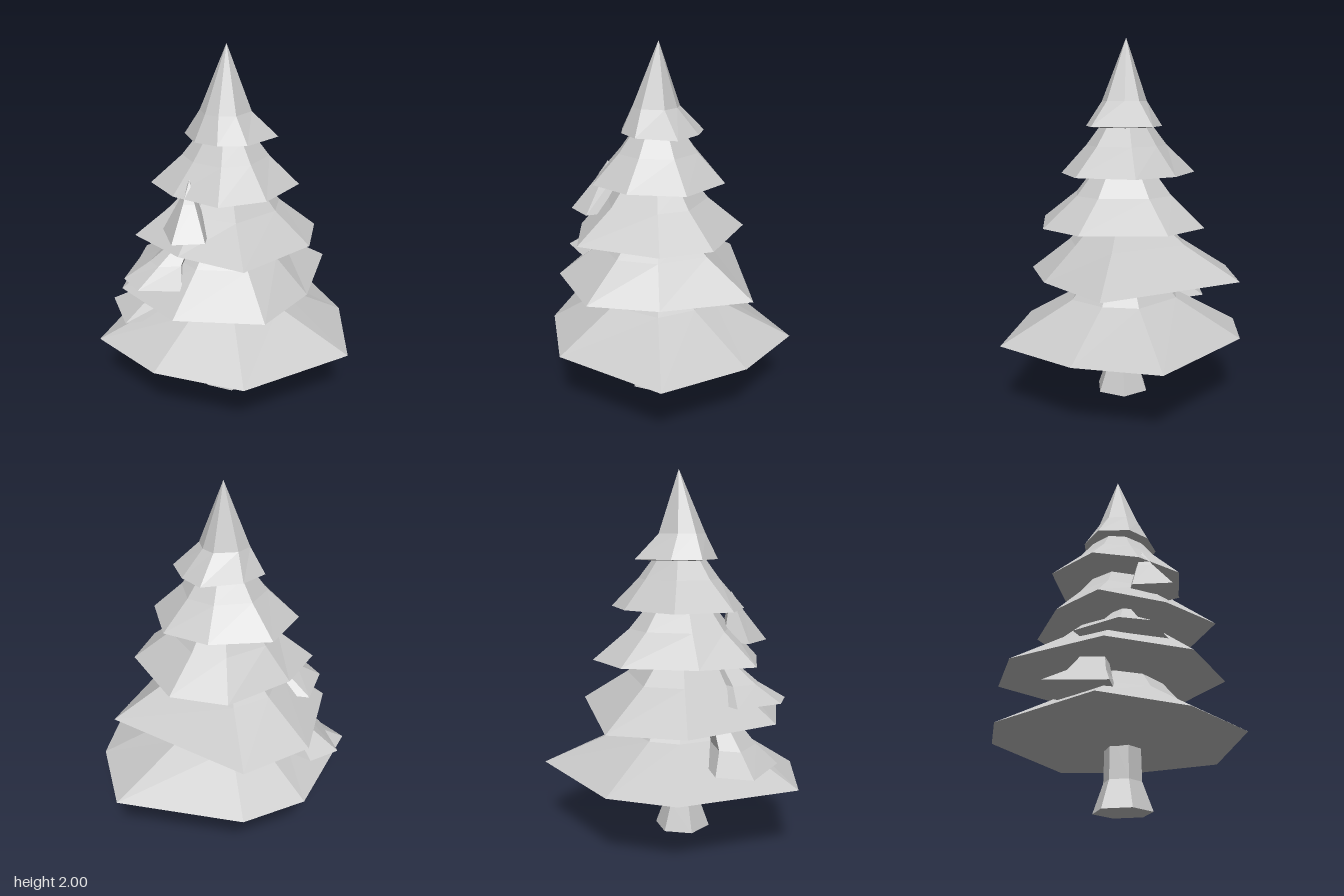
import * as THREE from 'three';

const grey = new THREE.MeshStandardMaterial({ color: 0xc8c8c8, flatShading: true });
grey.name = 'plain grey';

// Faceted skirt lofted through rows [y, scale, centreX, centreZ] of one outline of [x, z] points.
// Scale 1 keeps the outline; smaller rows are rounded off; scale 0 is a point.
function loft(name, outline, centre, rows) {
  const polar = outline
    .map(([x, z]) => {
      const dx = x - centre[0], dz = z - centre[1];
      return { a: Math.atan2(dz, dx), r: Math.hypot(dx, dz) };
    })
    .sort((p, q) => p.a - q.a);
  const mean = polar.reduce((s, p) => s + p.r, 0) / polar.length;
  const rings = rows.map(([y, k, cx = centre[0], cz = centre[1]]) =>
    polar.map(({ a, r }) => {
      const d = k === 1 ? r : k * (r + mean) / 2;
      return [cx + d * Math.cos(a), y, cz + d * Math.sin(a)];
    }));
  const pos = [];
  for (let j = 0; j < rows.length - 1; j++) {
    for (let i = 0; i < polar.length; i++) {
      const n = (i + 1) % polar.length;
      const a = rings[j][i], an = rings[j][n], b = rings[j + 1][i], bn = rings[j + 1][n];
      if (rows[j][1] > 0) pos.push(...a, ...b, ...an);
      if (rows[j + 1][1] > 0) pos.push(...an, ...b, ...bn);
    }
  }
  const geo = new THREE.BufferGeometry();
  geo.setAttribute('position', new THREE.Float32BufferAttribute(pos, 3));
  geo.computeVertexNormals();
  const mesh = new THREE.Mesh(geo, grey);
  mesh.name = name;
  return mesh;
}

export function createModel() {
  const tree = new THREE.Group();
  tree.name = 'pineTree';

  // Six-sided trunk with a flared foot
  const profile = [[0, 0], [0.155, 0], [0.1, 0.15], [0.094, 0.4], [0, 0.4]]
    .map(([r, y]) => new THREE.Vector2(r, y));
  const trunk = new THREE.Mesh(new THREE.LatheGeometry(profile, 6), grey);
  trunk.name = 'trunk';
  trunk.position.z = 0.055;
  tree.add(trunk);

  // Five stacked skirts of foliage, bottom to top
  const c = [-0.01, 0.05];
  tree.add(loft('lowestTier',
    [[-0.14, -0.72], [0.3, -0.585], [0.675, -0.25], [0.545, 0.39], [0.125, 0.66], [-0.34, 0.715], [-0.675, 0.15], [-0.63, -0.22]],
    c, [[0.31, 0], [0.37, 1], [0.57, 0.45], [0.66, 0.34], [0.74, 0]]));
  tree.add(loft('lowerTier',
    [[0.155, -0.57], [0.44, -0.15], [0.52, 0.23], [0.19, 0.57], [-0.265, 0.59], [-0.63, 0.19], [-0.62, -0.22]],
    c, [[0.65, 0], [0.69, 1], [0.875, 0.56], [0.97, 0.39], [1.05, 0]]));
  tree.add(loft('middleTier',
    [[-0.2, -0.405], [0.255, -0.375], [0.44, -0.15], [0.445, 0.31], [0.1, 0.46], [-0.265, 0.485], [-0.41, 0.21], [-0.425, -0.19]],
    c, [[0.955, 0], [0.985, 1], [1.15, 0.6], [1.25, 0.43], [1.33, 0]]));
  tree.add(loft('upperTier',
    [[-0.04, -0.34], [0.265, -0.23], [0.34, 0.07], [0.245, 0.31], [-0.02, 0.395], [-0.265, 0.365], [-0.415, 0.085], [-0.265, -0.21]],
    [-0.02, 0.04], [[1.235, 0], [1.265, 1], [1.42, 0.6], [1.52, 0.4], [1.6, 0]]));
  tree.add(loft('crown',
    [[-0.145, -0.18], [0, -0.2], [0.18, -0.15], [0.2, 0.08], [0.105, 0.2], [-0.02, 0.25], [-0.185, 0.19], [-0.22, 0.03]],
    [-0.02, 0.035], [[1.505, 0], [1.525, 1], [1.66, 0.57, -0.015, 0.055], [2, 0, -0.02, 0.035]]));

  // Three small boughs on the front, leaning in towards the trunk
  tree.add(loft('lowBough',
    [[-0.53, 0.5], [-0.52, 0.31], [-0.25, 0.2], [-0.145, 0.42], [-0.24, 0.6]],
    [-0.32, 0.41], [[0.46, 0], [0.475, 1], [0.57, 0.6, -0.27, 0.37], [0.68, 0.4, -0.23, 0.31], [0.8, 0, -0.2, 0.27]]));
  tree.add(loft('middleBough',
    [[-0.365, 0.4], [-0.2, 0.61], [-0.04, 0.625], [0.115, 0.45], [-0.03, 0.28], [-0.25, 0.28]],
    [-0.12, 0.44], [[0.765, 0], [0.785, 1], [0.87, 0.52, -0.1, 0.38], [0.97, 0.28, -0.07, 0.3], [1.1, 0, -0.05, 0.25]]));
  tree.add(loft('highBough',
    [[-0.07, 0.43], [0.12, 0.51], [0.215, 0.37], [0.1, 0.25], [-0.05, 0.29]],
    [0.06, 0.38], [[1.06, 0], [1.075, 1], [1.24, 0.37, 0.035, 0.34], [1.35, 0, 0.025, 0.32]]));

  return tree;
}
